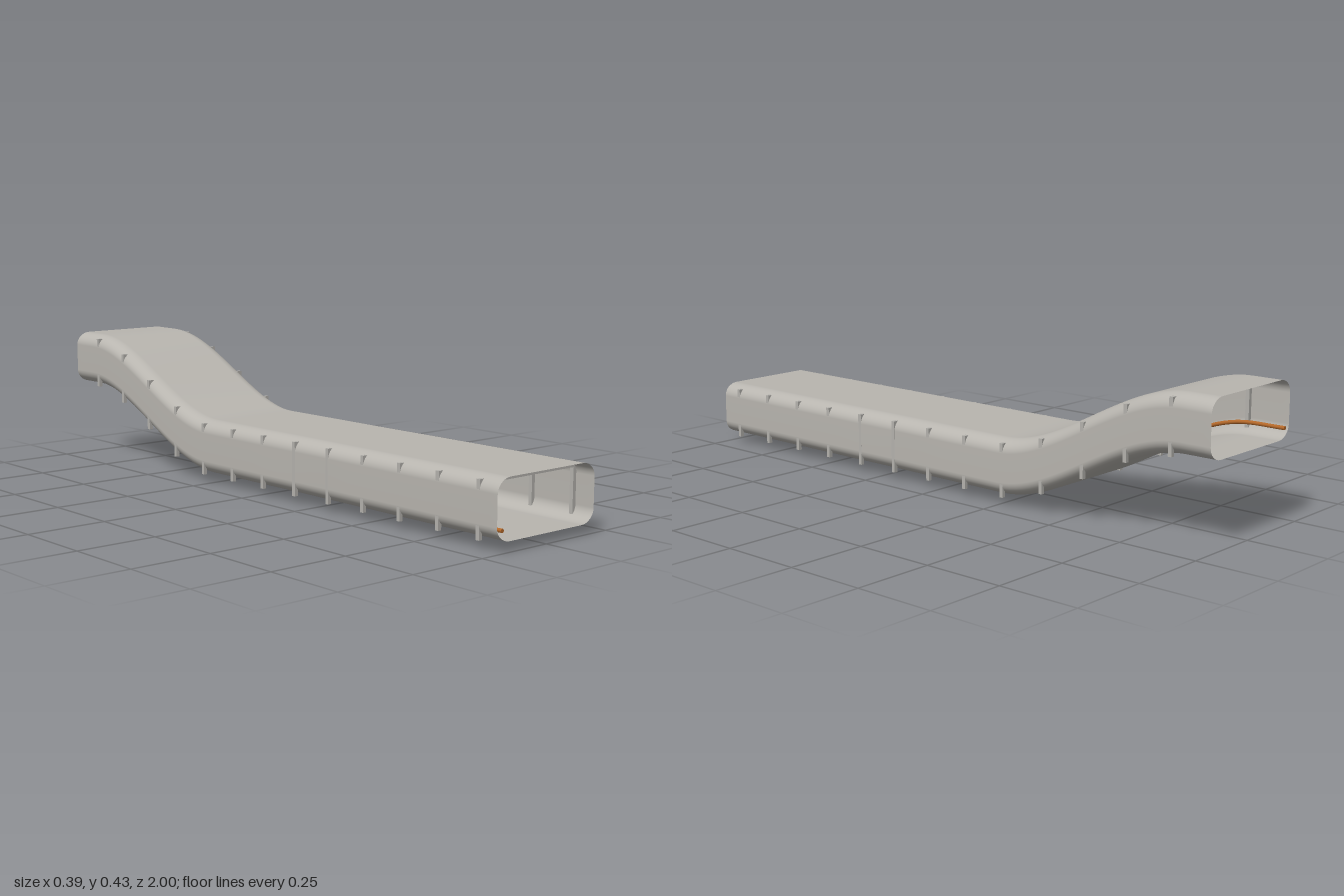
import * as THREE from 'three';

const shellGrey = new THREE.MeshStandardMaterial({ color: 0xb8b5af, side: THREE.DoubleSide });
shellGrey.name = 'shellGrey';
const frameGrey = new THREE.MeshStandardMaterial({ color: 0xb4b2ad });
frameGrey.name = 'frameGrey';
const copper = new THREE.MeshStandardMaterial({ color: 0xb5692a });
copper.name = 'copper';

// Height of the duct floor above its low level: flat, then an S-curve up towards the back
const rise = (z) => 0.225 * THREE.MathUtils.smoothstep(-z, 0.25, 0.9);

// Strength (0..1) of the sag under the floor
const sag = (z) => {
  const t = Math.abs(z - 0.2) / 0.22;
  return t < 1 ? 0.5 + 0.5 * Math.cos(Math.PI * t) : 0;
};

// Rounded rectangular cross-section at z, with one extra point in the middle of the floor
function section(z) {
  const w = 0.1955 - 0.0015 * sag(z), rx = 0.05, ry = 0.042, y0 = 0.03, y1 = 0.203, n = 8;
  const points = [[0, y0 - 0.03 * sag(z)]];
  const corners = [[w - rx, y0 + ry, -0.5], [w - rx, y1 - ry, 0], [rx - w, y1 - ry, 0.5], [rx - w, y0 + ry, 1]];
  for (const [cx, cy, start] of corners) {
    for (let i = 0; i <= n; i++) {
      const a = Math.PI * (start + (0.5 * i) / n);
      points.push([cx + rx * Math.cos(a), cy + ry * Math.sin(a)]);
    }
  }
  return points.map(([x, y]) => [x, y + rise(z), z]);
}

// Open tube skinned over the cross-sections, front to back
function shellGeometry() {
  const rings = 80, positions = [], index = [];
  let count = 0;
  for (let r = 0; r <= rings; r++) {
    const ring = section(1 - (2 * r) / rings);
    count = ring.length;
    ring.forEach((p) => positions.push(...p));
  }
  for (let r = 0; r < rings; r++) {
    for (let i = 0; i < count; i++) {
      const a = r * count + i, b = r * count + ((i + 1) % count);
      index.push(a, a + count, b, b, a + count, b + count);
    }
  }
  const geometry = new THREE.BufferGeometry();
  geometry.setAttribute('position', new THREE.Float32BufferAttribute(positions, 3));
  geometry.setIndex(index);
  geometry.computeVertexNormals();
  return geometry;
}

function addBox(parent, name, w, h, d, x, y, z) {
  const mesh = new THREE.Mesh(new THREE.BoxGeometry(w, h, d), frameGrey);
  mesh.name = name;
  mesh.position.set(x, y, z);
  parent.add(mesh);
}

export function createModel() {
  const model = new THREE.Group();
  model.name = 'tunnel';

  const shell = new THREE.Mesh(shellGeometry(), shellGrey);
  shell.name = 'tunnelShell';
  model.add(shell);

  // Portal frames: two posts and a crossbeam, corners poking through the shell
  for (let i = 0; i < 13; i++) {
    const z = 0.93 - 0.15 * i;
    const frame = new THREE.Group();
    frame.name = 'portalFrame';
    frame.position.set(0, rise(z), z);
    for (const side of [-1, 1]) {
      addBox(frame, 'post', 0.012, 0.151, 0.012, side * 0.189, 0.1025, 0);
    }
    addBox(frame, 'crossbeam', 0.39, 0.014, 0.012, 0, 0.185, 0);
    model.add(frame);
  }

  // Small block under the roof, above the sag
  addBox(model, 'ceilingBlock', 0.02, 0.044, 0.02, 0, 0.179, 0.18);

  // Pipe along the right wall, following the floor
  const path = [];
  for (let i = 0; i <= 40; i++) {
    const z = 1 - i / 20;
    path.push(new THREE.Vector3(-0.175, 0.062 + rise(z), z));
  }
  const curve = new THREE.CatmullRomCurve3(path);
  const pipe = new THREE.Mesh(new THREE.TubeGeometry(curve, 80, 0.006, 10), copper);
  pipe.name = 'pipe';
  model.add(pipe);
  for (const end of [0, 1]) {
    const cap = new THREE.Mesh(new THREE.CircleGeometry(0.006, 10), copper);
    cap.name = 'pipeEnd';
    cap.position.copy(path[end * 40]);
    cap.rotation.y = end * Math.PI;
    model.add(cap);
  }
  return model;
}
